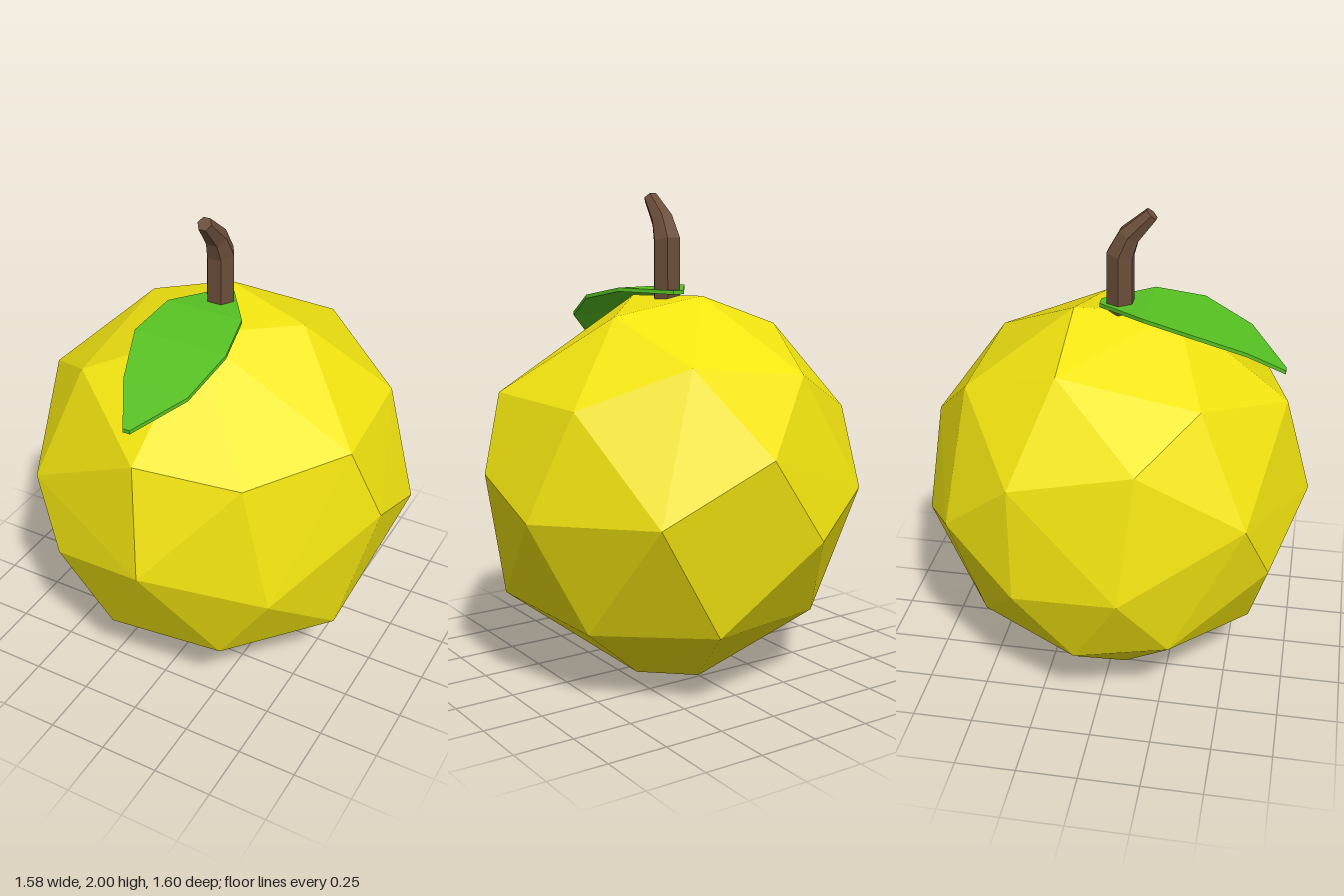
import * as THREE from 'three';
import { ConvexGeometry } from 'three/addons/geometries/ConvexGeometry.js';

const material = (color) => new THREE.MeshStandardMaterial({ color, flatShading: true });

// Closed skin over rings of equal length, each counter-clockwise seen from the far end
function loft(rings) {
  const n = rings[0].length, last = rings.length - 1, index = [];
  for (let i = 0; i < last; i++) {
    for (let j = 0; j < n; j++) {
      const a = i * n + j, b = i * n + (j + 1) % n;
      index.push(a, b, b + n, a, b + n, a + n);
    }
  }
  for (let j = 1; j < n - 1; j++) {
    index.push(0, j + 1, j, last * n, last * n + j, last * n + j + 1);
  }
  const indexed = new THREE.BufferGeometry();
  indexed.setAttribute('position', new THREE.Float32BufferAttribute(rings.flat(2), 3));
  indexed.setIndex(index);
  const geometry = indexed.toNonIndexed();
  geometry.computeVertexNormals();
  return geometry;
}

// Irregular faceted fruit: corners by tier, relative to its middle
function fruitGeometry() {
  const crown = [[-0.05, 0.79, -0.18], [0.02, 0.77, 0.23], [0.32, 0.72, -0.11], [-0.42, 0.66, -0.18]];
  const shoulder = [
    [-0.42, 0.56, 0.38], [0, 0.42, 0.69], [0.41, 0.38, 0.58], [0.68, 0.41, 0.2], [0.63, 0.4, -0.32],
    [0.25, 0.56, -0.55], [-0.25, 0.5, -0.59], [-0.69, 0.3, -0.32], [-0.69, 0.41, 0.17],
  ];
  const waist = [
    [0.07, -0.02, 0.8], [0.53, -0.14, 0.58], [0.79, 0.1, 0.12], [0.79, -0.03, -0.23], [0.48, 0, -0.69],
    [0.05, 0.23, -0.8], [-0.2, -0.12, -0.79], [-0.53, 0.02, -0.62], [-0.72, -0.17, -0.31],
    [-0.79, -0.11, 0.12], [-0.54, 0.12, 0.58], [-0.39, -0.16, 0.67],
  ];
  const belly = [
    [0.31, -0.48, 0.57], [0.66, -0.44, 0.22], [0.57, -0.49, -0.31], [0.2, -0.47, -0.67],
    [-0.37, -0.5, -0.52], [-0.65, -0.48, -0.08], [-0.62, -0.42, 0.3], [-0.2, -0.52, 0.59],
  ];
  const base = [[0.23, -0.74, 0.26], [0.25, -0.76, -0.15], [0, -0.8, -0.24], [-0.33, -0.74, 0.08]];
  const corners = [crown, shoulder, waist, belly, base].flat();
  return new ConvexGeometry(corners.map((p) => new THREE.Vector3(...p)));
}

// Six-sided stem that bends forward and tapers: [y, z, radius, forward tilt]
function stemGeometry() {
  const stations = [[1.57, 0, 0.06, 0], [1.81, 0, 0.06, 0.2], [1.89, 0.035, 0.048, 0.55], [1.98, 0.123, 0.03, 0.75]];
  return loft(stations.map(([y, z, r, tilt]) =>
    Array.from({ length: 6 }, (_, k) => {
      const a = k * Math.PI / 3, s = r * Math.sin(a);
      return [r * Math.cos(a), y + s * Math.sin(tilt), z - s * Math.cos(tilt)];
    })));
}

// Thin leaf drooping over the front: [z, top y, left edge, right edge]
function leafGeometry() {
  const stations = [
    [-0.08, 1.607, 0.02, -0.03], [0.12, 1.613, 0.16, -0.17], [0.32, 1.572, 0.2, -0.2],
    [0.52, 1.482, 0.15, -0.13], [0.675, 1.375, -0.01, -0.04],
  ];
  const thick = 0.016;
  return loft(stations.map(([z, y, l, r]) =>
    [[l, y - thick, z], [l, y, z], [r, y, z], [r, y - thick, z]]));
}

export function createModel() {
  const group = new THREE.Group();
  group.name = 'fruit';
  const add = (name, geometry, color) => {
    const mesh = new THREE.Mesh(geometry, material(color));
    mesh.name = name;
    group.add(mesh);
    return mesh;
  };
  add('body', fruitGeometry(), 0xf2e410).position.y = 0.8;
  add('stem', stemGeometry(), 0x6b4e3a);
  add('leaf', leafGeometry(), 0x56c022);
  return group;
}
